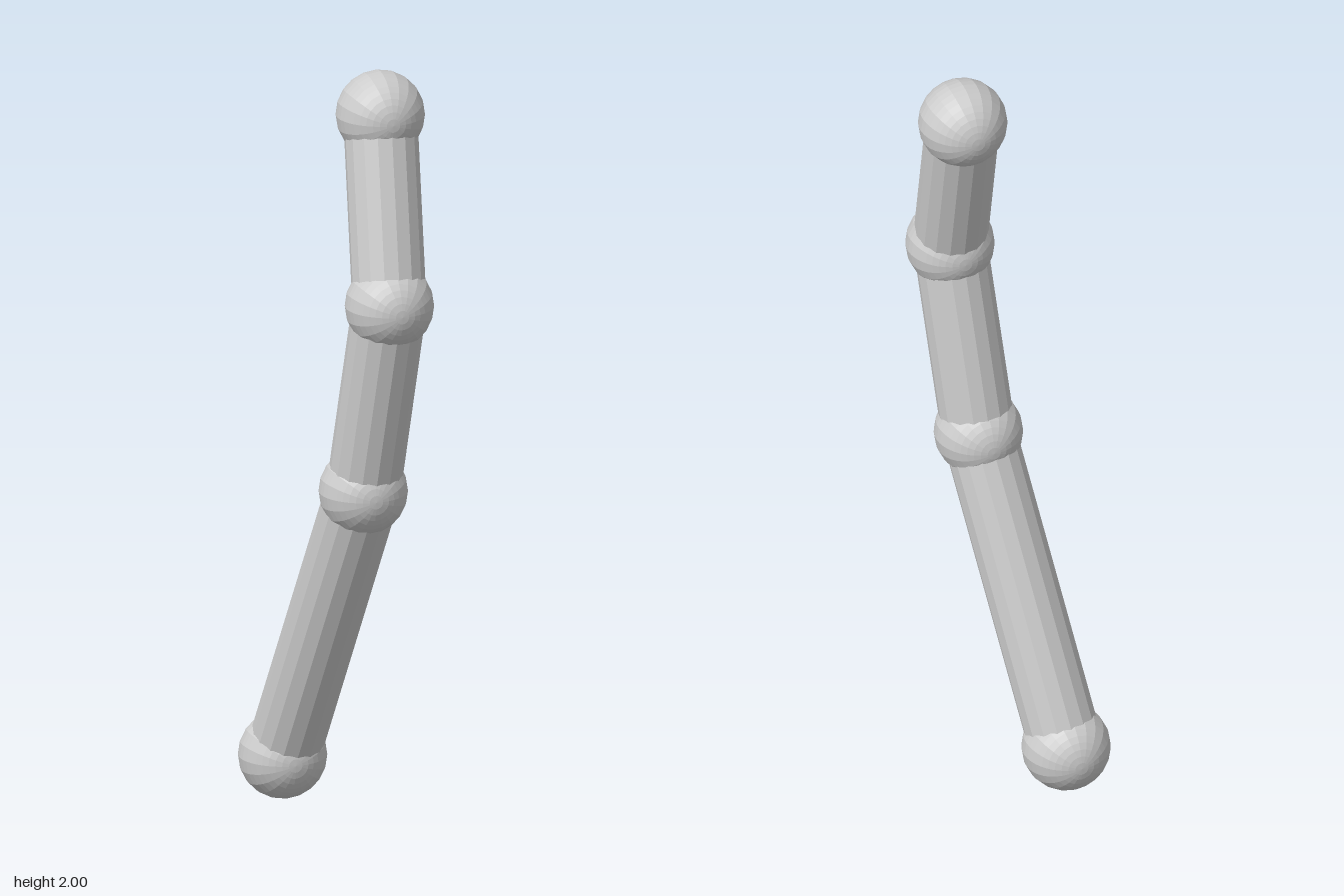
import * as THREE from 'three';

const JOINT_RADIUS = 0.114;
const LINK_RADIUS = 0.095;

// Joint centres from the base to the tip
const joints = [
  [-0.085, 0.114, -0.223],
  [0.026, 0.9, 0.11],
  [0.062, 1.42, 0.218],
  [0.083, 1.886, 0.073],
].map((p) => new THREE.Vector3(...p));

export function createModel() {
  const group = new THREE.Group();
  group.name = 'jointedArm';
  const material = new THREE.MeshStandardMaterial({ color: 0xcccccc, flatShading: true });

  // Ball joints, poles along z
  const ball = new THREE.SphereGeometry(JOINT_RADIUS, 20, 20).rotateX(Math.PI / 2);
  joints.forEach((centre, i) => {
    const mesh = new THREE.Mesh(ball, material);
    mesh.name = `ballJoint${i + 1}`;
    mesh.position.copy(centre);
    group.add(mesh);
  });

  // Straight links running from one joint centre to the next
  const up = new THREE.Vector3(0, 1, 0);
  for (let i = 0; i < joints.length - 1; i++) {
    const axis = joints[i + 1].clone().sub(joints[i]);
    const link = new THREE.CylinderGeometry(LINK_RADIUS, LINK_RADIUS, axis.length(), 16);
    const mesh = new THREE.Mesh(link, material);
    mesh.name = `link${i + 1}`;
    mesh.position.lerpVectors(joints[i], joints[i + 1], 0.5);
    mesh.quaternion.setFromUnitVectors(up, axis.normalize());
    group.add(mesh);
  }
  return group;
}
